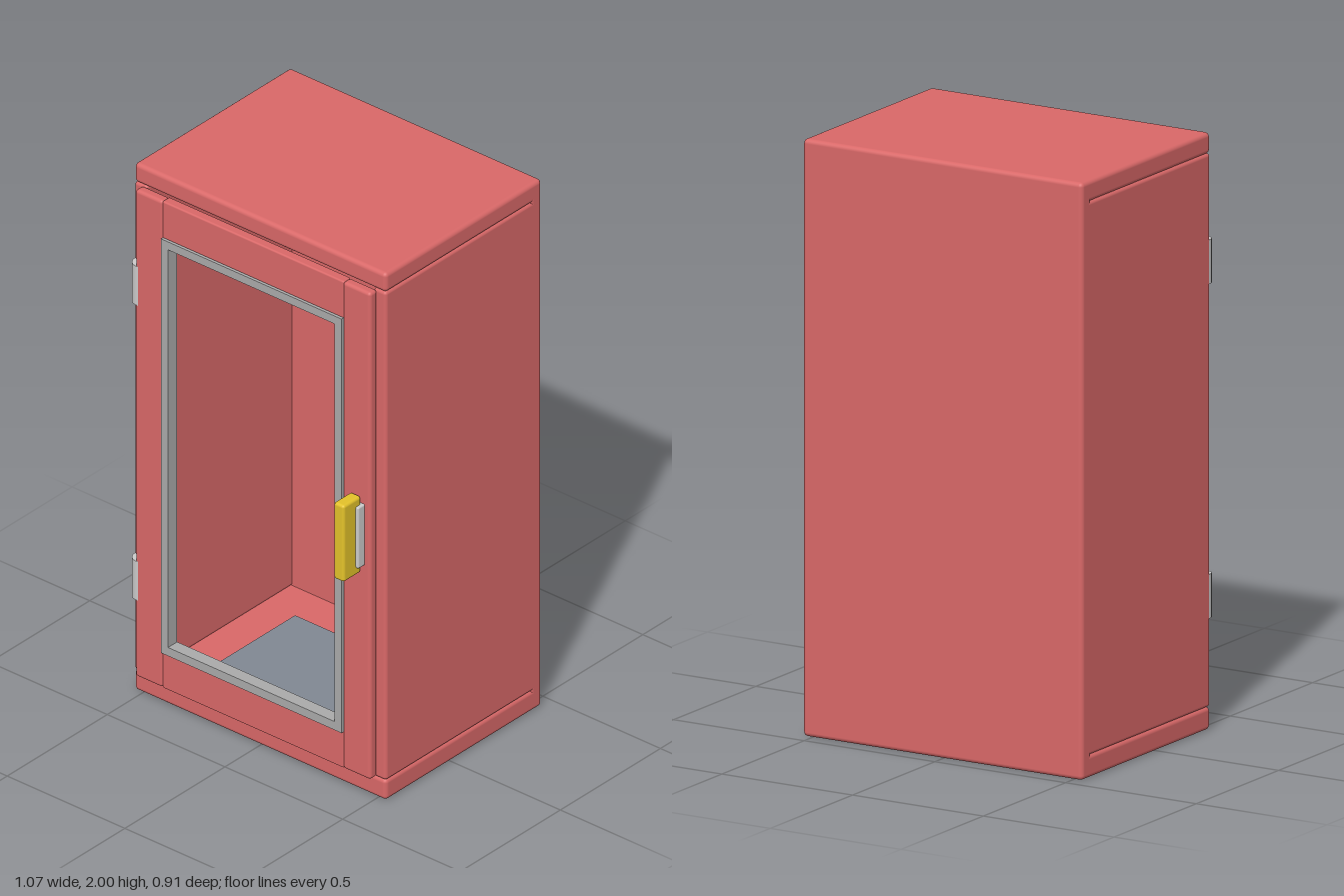
import * as THREE from 'three';
import { RoundedBoxGeometry } from 'three/addons/geometries/RoundedBoxGeometry.js';

const mat = (color) => new THREE.MeshStandardMaterial({ color });

export function createModel() {
  const model = new THREE.Group();
  const red = mat(0xd96868), trimGrey = mat(0xaaaaaa), steel = mat(0xcccccc);
  const slate = mat(0x808893), yellow = mat(0xe3c22a);

  // box from its min and max corners, with rounded edges of radius r
  function box(name, material, [x0, y0, z0], [x1, y1, z1], r = 0.012, parent = model) {
    const w = x1 - x0, h = y1 - y0, d = z1 - z0;
    const geo = r > 0 ? new RoundedBoxGeometry(w, h, d, 3, r) : new THREE.BoxGeometry(w, h, d);
    const mesh = new THREE.Mesh(geo, material);
    mesh.position.set((x0 + x1) / 2, (y0 + y1) / 2, (z0 + z1) / 2);
    mesh.name = name;
    parent.add(mesh);
    return mesh;
  }

  // open-fronted cabinet
  box('bottomPanel', red, [-0.535, 0, -0.455], [0.535, 0.078, 0.325], 0.015);
  box('topPanel', red, [-0.535, 1.928, -0.455], [0.535, 2, 0.325], 0.015);
  box('backPanel', red, [-0.535, 0, -0.455], [0.535, 2, -0.4], 0.015);
  for (const [name, s] of [['leftWall', 1], ['rightWall', -1]]) {
    const x = s * 0.5075;
    box(name, red, [x - 0.0275, 0.076, -0.45], [x + 0.0275, 1.93, 0.325]);
  }

  // interior fittings
  box('floorMat', slate, [-0.34, 0.07, -0.25], [0.34, 0.09, 0.25], 0);
  box('wallUnit', slate, [-0.197, 1.0, -0.41], [0.192, 1.155, -0.33], 0);

  // framed door
  const door = new THREE.Group();
  door.name = 'door';
  model.add(door);
  box('hingeStile', red, [-0.502, 0.08, 0.322], [-0.385, 1.928, 0.36], 0.012, door);
  box('latchStile', red, [0.38, 0.08, 0.322], [0.498, 1.928, 0.36], 0.012, door);
  box('lowerRail', red, [-0.388, 0.08, 0.322], [0.383, 0.222, 0.358], 0.006, door);
  box('upperRail', red, [-0.388, 1.788, 0.322], [0.383, 1.928, 0.358], 0.006, door);

  // window trim
  const rect = (T, x0, y0, x1, y1) => {
    const p = new T();
    p.moveTo(x0, y0).lineTo(x1, y0).lineTo(x1, y1).lineTo(x0, y1).closePath();
    return p;
  };
  const outline = rect(THREE.Shape, -0.385, 0.218, 0.382, 1.79);
  outline.holes.push(rect(THREE.Path, -0.355, 0.25, 0.352, 1.76));
  const trim = new THREE.Mesh(
    new THREE.ExtrudeGeometry(outline, { depth: 0.046, bevelEnabled: false }), trimGrey);
  trim.position.z = 0.321;
  trim.name = 'windowTrim';
  door.add(trim);

  // hinge barrels
  for (const [name, y] of [['lowerHinge', 0.445], ['upperHinge', 1.565]]) {
    const hinge = new THREE.Mesh(new THREE.CylinderGeometry(0.036, 0.036, 0.148, 24), steel);
    hinge.position.set(-0.497, y, 0.325);
    hinge.name = name;
    model.add(hinge);
  }

  // latch plate and grip
  box('latchPlate', steel, [0.41, 0.888, 0.35], [0.475, 1.12, 0.392], 0.006, door);
  box('doorHandle', yellow, [0.42, 0.86, 0.364], [0.464, 1.15, 0.452], 0.01, door);

  return model;
}
